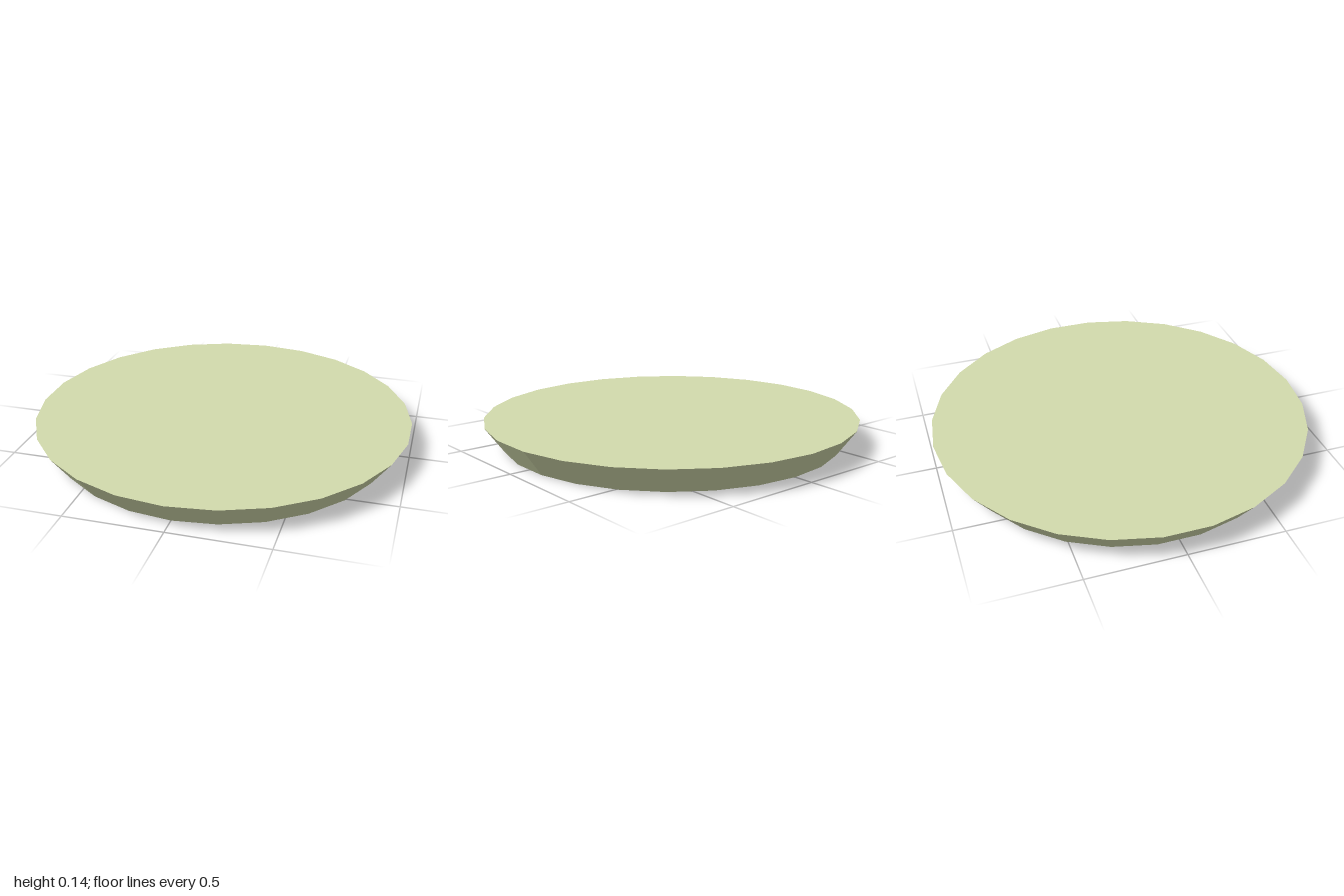
import * as THREE from 'three';

const SIDES = 26;
const HOLE = 0.645; // radius of the recess in the underside
const BLADES = 5;

// Spiral of twisted blades, each ending in a small step up to the next one
function spiralBlade() {
  const rings = 8, cols = 8, sector = (Math.PI * 2) / BLADES;
  const positions = [], index = [];
  for (let i = 0; i <= rings; i++) {
    const t = i / rings;
    const sweep = THREE.MathUtils.degToRad(34 + 35 * (1 - t));
    for (let j = 0; j <= cols + 1; j++) {
      const u = Math.min(j / cols, 1);
      const a = sweep + u * sector;
      // the last column closes the step against the next blade
      const lift = j > cols ? 0.025 : THREE.MathUtils.lerp(0.025, -0.027, u);
      positions.push(HOLE * t * Math.cos(a), 0.033 + t * lift, HOLE * t * Math.sin(a));
    }
  }
  const w = cols + 2;
  for (let i = 0; i < rings; i++) {
    for (let j = 0; j <= cols; j++) {
      const a = i * w + j, b = a + w;
      if (i > 0) index.push(a, a + 1, b);
      index.push(a + 1, b + 1, b);
    }
  }
  // faces wind so that they look downward
  for (let k = 0; k < index.length; k += 3) {
    [index[k + 1], index[k + 2]] = [index[k + 2], index[k + 1]];
  }
  const geometry = new THREE.BufferGeometry();
  geometry.setAttribute('position', new THREE.Float32BufferAttribute(positions, 3));
  geometry.setIndex(index);
  geometry.computeVertexNormals();
  return geometry;
}

export function createModel() {
  const model = new THREE.Group();
  model.name = 'roundHatch';

  // Tapered disc with a ring groove and a round recess underneath
  const profile = [
    [0, 0.075], [HOLE, 0.075], [HOLE, 0], [0.765, 0], [0.765, 0.06],
    [0.835, 0.06], [0.835, 0], [0.9, 0], [1, 0.137], [0, 0.137],
  ].map(([r, y]) => new THREE.Vector2(r, y));
  const bodyMaterial = new THREE.MeshStandardMaterial({ color: 0xd3dbad, flatShading: true });
  const body = new THREE.Mesh(new THREE.LatheGeometry(profile, SIDES), bodyMaterial);
  body.name = 'discBody';
  model.add(body);

  // Iris of blades inside the recess
  const iris = new THREE.Group();
  iris.name = 'iris';
  const bladeGeometry = spiralBlade();
  const bladeMaterial = new THREE.MeshStandardMaterial({
    color: 0xa0a0a0, flatShading: true, side: THREE.DoubleSide,
  });
  for (let k = 0; k < BLADES; k++) {
    const blade = new THREE.Mesh(bladeGeometry, bladeMaterial);
    blade.name = 'irisBlade';
    blade.rotation.y = (k * Math.PI * 2) / BLADES;
    iris.add(blade);
  }
  model.add(iris);

  return model;
}
